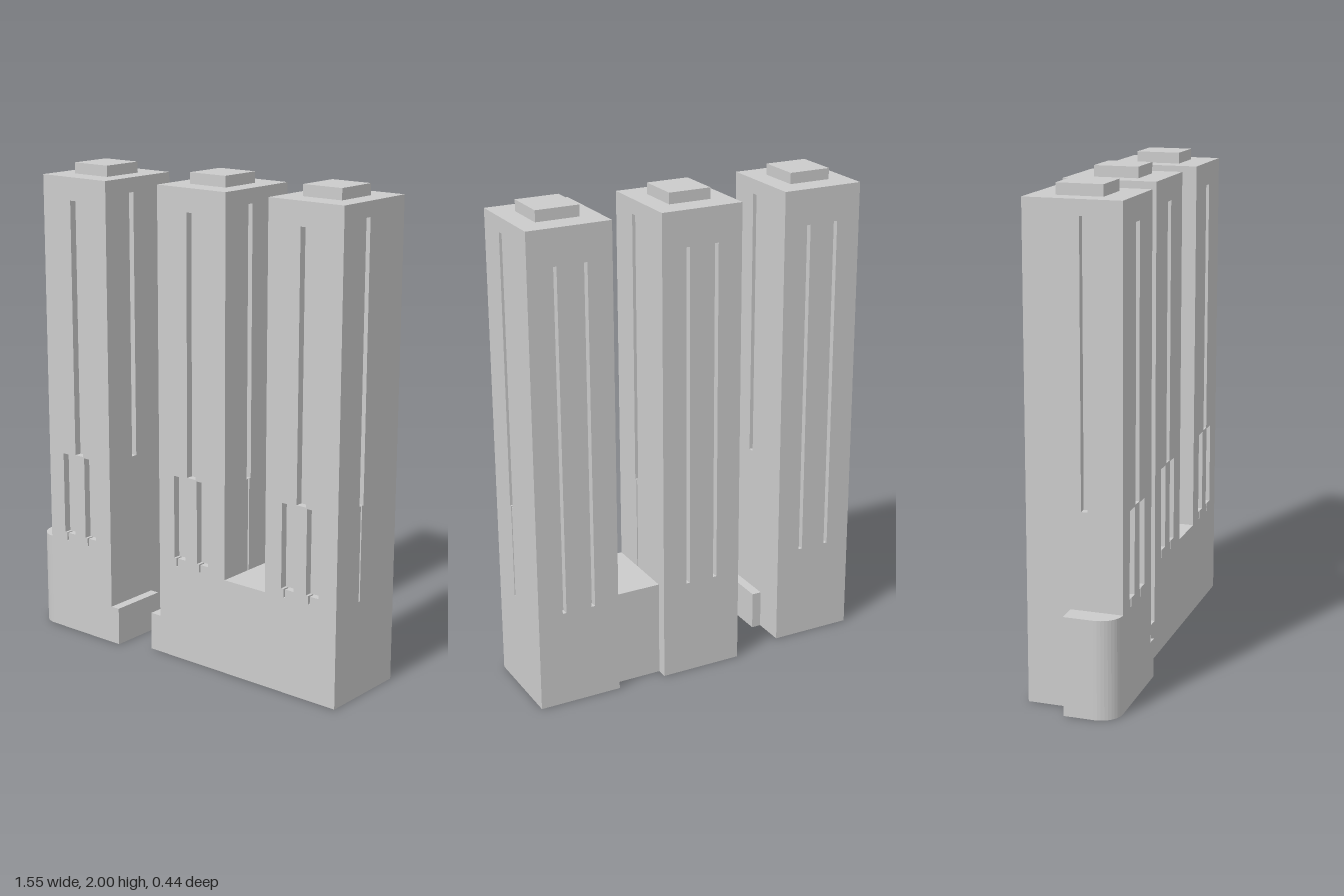
import * as THREE from 'three';

const material = new THREE.MeshStandardMaterial({ color: 0xcccccc, flatShading: true });
const W = 0.345, D = 0.385, H = 1.955, T = 0.03; // tower width, depth, height, facade thickness

function mesh(name, geometry) {
  const m = new THREE.Mesh(geometry, material);
  m.name = name;
  return m;
}

// Box given by its limits on each axis
function block(name, x0, x1, y0, y1, z0, z1) {
  const m = mesh(name, new THREE.BoxGeometry(x1 - x0, y1 - y0, z1 - z0));
  m.position.set((x0 + x1) / 2, (y0 + y1) / 2, (z0 + z1) / 2);
  return m;
}

function polygon(points, Type) {
  return new Type(points.map(([x, y]) => new THREE.Vector2(x, y)));
}

// Window slot, optionally with a narrow groove running down from it
function slot(x0, x1, y0, y1, grooveX, grooveY) {
  const g = 0.004;
  const groove = grooveX === undefined ? [] :
    [[grooveX - g, y0], [grooveX - g, grooveY], [grooveX + g, grooveY], [grooveX + g, y0]];
  return polygon([[x0, y0], ...groove, [x1, y0], [x1, y1], [x0, y1]], THREE.Path);
}

// Facade panel with recessed slots, turned to face its side of the tower
function facade(name, width, slots, angle, distance) {
  const w = width / 2;
  const shape = polygon([[-w, 0], [w, 0], [w, H], [-w, H]], THREE.Shape);
  shape.holes.push(...slots);
  const geometry = new THREE.ExtrudeGeometry(shape, { depth: T, bevelEnabled: false });
  geometry.translate(0, 0, distance - T);
  const m = mesh(name, geometry);
  m.rotation.y = angle;
  return m;
}

function tower(name, x, z, sideGroove) {
  const g = new THREE.Group();
  g.name = name;
  g.position.set(x, 0, z);

  g.add(block('core', -W / 2 + T, W / 2 - T, 0, H, -D / 2 + T, D / 2 - T));
  g.add(facade('frontFacade', W, [
    slot(-0.0225, 0.0225, 0.79, 1.86),
    slot(-0.0925, -0.0325, 0.435, 0.785, -0.077, 0.4),
    slot(0.0275, 0.0875, 0.435, 0.785, 0.043, 0.4),
  ], 0, D / 2));
  g.add(facade('backFacade', W, [-0.062, 0.062].map(
    (c) => slot(c - 0.008, c + 0.008, 0.4, 1.81)), Math.PI, D / 2));

  // Side strips sit slightly forward of the tower's middle
  const groove = sideGroove ? [-0.041, 0.4] : [];
  g.add(facade('leftFacade', D - 2 * T,
    [slot(-0.054, -0.028, 0.79, 1.895, ...groove)], Math.PI / 2, W / 2));
  g.add(facade('rightFacade', D - 2 * T,
    [slot(0.028, 0.054, 0.79, 1.895)], -Math.PI / 2, W / 2));

  g.add(block('roofHousing', -0.089, 0.089, H, 2, -0.092, 0.092));
  return g;
}

export function createModel() {
  const model = new THREE.Group();
  model.name = 'towerBlocks';

  model.add(tower('rightTower', -0.5175, 0.0275, false));
  model.add(tower('middleTower', 0.0525, -0.0275, true));
  model.add(tower('leftTower', 0.6025, -0.0275, true));

  // Low wings on either side of the gap
  model.add(block('rightTowerWing', -0.345, -0.305, 0, 0.16, -0.03, 0.22));
  model.add(block('middleTowerWing', -0.17, -0.12, 0, 0.16, -0.04, 0.165));

  // Podium joining the middle and left towers
  model.add(block('podiumHalf', 0.225, 0.3275, 0, 0.4, -0.175, 0.165));
  model.add(block('podiumHalf', 0.3275, 0.43, 0, 0.4, -0.175, 0.165));

  // Annex with one rounded front corner
  const plan = new THREE.Shape();
  plan.moveTo(-0.69, 0.01);
  plan.lineTo(-0.69, 0.22);
  plan.absellipse(-0.69, 0.13, 0.085, 0.09, Math.PI / 2, Math.PI, false, 0);
  plan.lineTo(-0.775, 0.01);
  plan.closePath();
  const annex = new THREE.ExtrudeGeometry(plan, { depth: 0.4, bevelEnabled: false, curveSegments: 5 });
  annex.rotateX(Math.PI / 2).translate(0, 0.4, 0);
  model.add(mesh('roundedAnnex', annex));

  return model;
}
